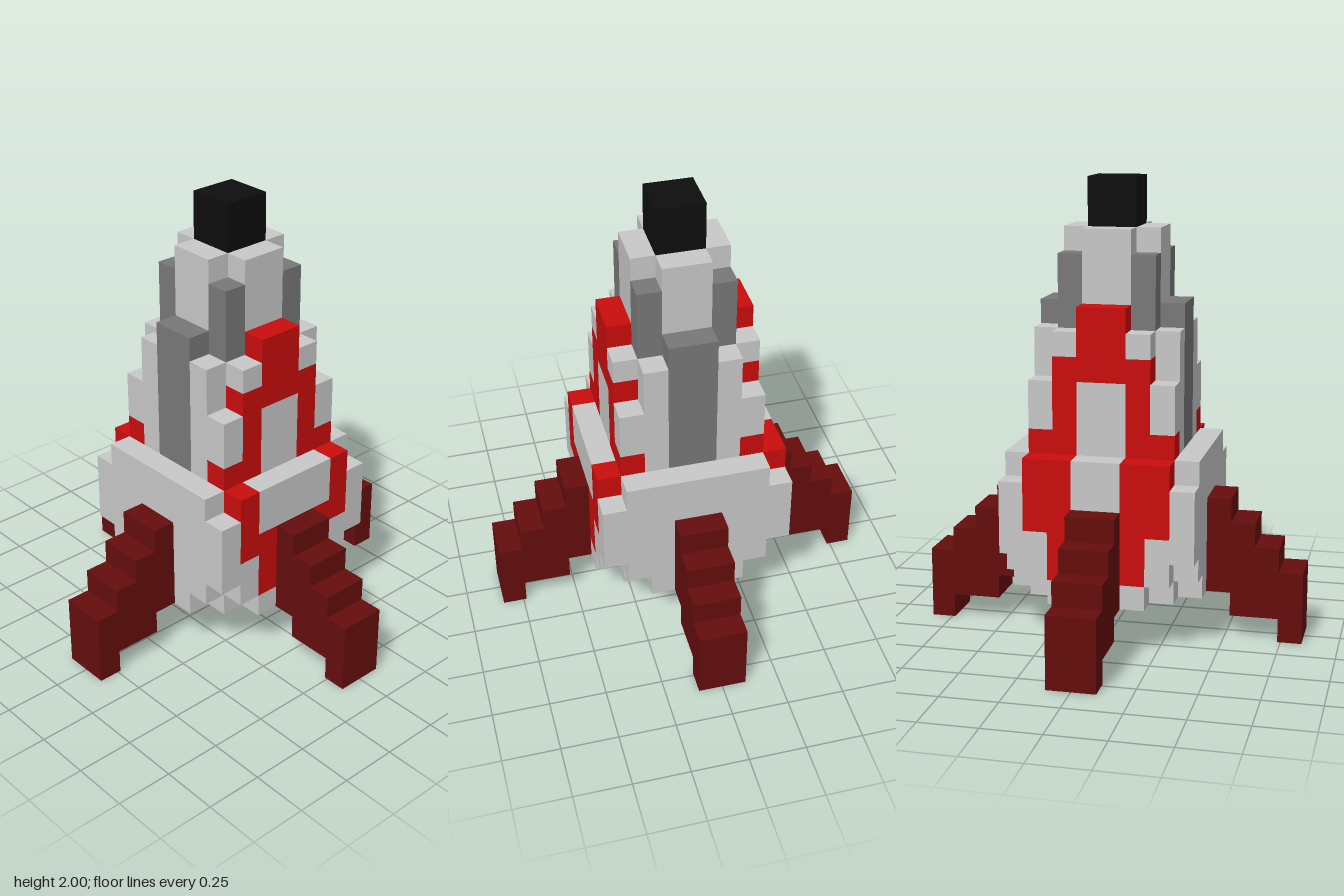
import * as THREE from 'three';

const U = 2 / 19; // edge of one block

const flat = (name, color) => {
  const m = new THREE.MeshStandardMaterial({ color });
  m.name = name;
  return m;
};

// The six sides of a block: outward normal and two edge directions (a x b = n)
const SIDES = [
  [[1, 0, 0], [0, 1, 0], [0, 0, 1]], [[-1, 0, 0], [0, 0, 1], [0, 1, 0]],
  [[0, 1, 0], [0, 0, 1], [1, 0, 0]], [[0, -1, 0], [1, 0, 0], [0, 0, 1]],
  [[0, 0, 1], [1, 0, 0], [0, 1, 0]], [[0, 0, -1], [0, 1, 0], [1, 0, 0]],
];

export function createModel() {
  const lightGrey = flat('lightGrey', 0xc8c8c8);
  const darkGrey = flat('darkGrey', 0x787878);
  const red = flat('red', 0xca0d0d);
  const darkRed = flat('darkRed', 0x650d0d);
  const black = flat('black', 0x0e0e0e);

  const blocks = new Map();
  const key = (x, y, z) => `${x},${y},${z}`;

  // Fill a box of blocks with a part; part null carves it away
  const fill = (part, x0, x1, y0, y1, z0, z1) => {
    for (let x = x0; x < x1; x++)
      for (let y = y0; y < y1; y++)
        for (let z = z0; z < z1; z++)
          if (part) blocks.set(key(x, y, z), { part, p: [x, y, z] });
          else blocks.delete(key(x, y, z));
  };
  const centred = (part, hx, hz, y0, y1) => fill(part, -hx, hx, y0, y1, -hz, hz);
  // Same box on the left and right
  const pair = (part, x0, x1, y0, y1, z0, z1) => {
    fill(part, x0, x1, y0, y1, z0, z1);
    fill(part, -x1, -x0, y0, y1, z0, z1);
  };
  // Same box in all four corners
  const corners = (part, x0, x1, y0, y1, z0, z1) => {
    pair(part, x0, x1, y0, y1, z0, z1);
    pair(part, x0, x1, y0, y1, -z1, -z0);
  };

  // Lower hull with stepped corners
  centred('lowerHull', 4, 4, 2, 8);
  corners(null, 3, 4, 2, 4, 3, 4);
  corners(null, 2, 3, 2, 3, 3, 4);
  corners(null, 3, 4, 2, 3, 2, 3);
  corners(null, 3, 4, 7, 8, 3, 4);

  // Upper hull, tapering in steps
  centred('upperHull', 3, 3, 8, 11);
  centred('upperHull', 3, 2, 11, 13);
  centred('upperHull', 2, 3, 11, 13);
  centred('upperHull', 2, 2, 13, 14);

  // Nose section
  centred('nose', 2, 1, 14, 17);
  centred('nose', 1, 2, 14, 17);
  centred('noseTip', 1, 1, 17, 19);

  // Dark side panels and corner columns
  pair('sidePanel', 2, 3, 8, 14, -1, 1);
  corners('noseColumn', 1, 2, 13, 16, 1, 2);

  // Red trim on the front and back
  for (const front of [true, false]) {
    const part = front ? 'frontTrim' : 'backTrim';
    const [u0, u1] = front ? [2, 3] : [-3, -2]; // upper hull skin
    const [l0, l1] = front ? [3, 4] : [-4, -3]; // lower hull skin
    fill(part, -1, 1, 12, 14, u0, u1);
    fill(part, -2, 2, 11, 12, u0, u1);
    pair(part, 1, 2, 8, 11, u0, u1);
    pair(part, 2, 3, 8, 9, u0, u1);
    pair(part, front ? 2 : 1, 3, 6, 8, l0, l1);
    pair(part, 1, 3, 5, 6, l0, l1);
    pair(part, 1, 2, 3, 5, l0, l1);
  }

  // Four stepped legs: [bottom, top] of each step outward
  [[2, 6], [1, 5], [1, 4], [0, 3]].forEach(([y0, y1], i) => {
    const a = 4 + i, b = a + 1;
    fill('leftLeg', a, b, y0, y1, -1, 1);
    fill('rightLeg', -b, -a, y0, y1, -1, 1);
    fill('frontLeg', -1, 1, y0, y1, a, b);
    fill('backLeg', -1, 1, y0, y1, -b, -a);
  });

  const materials = {
    lowerHull: lightGrey, upperHull: lightGrey, nose: lightGrey,
    noseTip: black, sidePanel: darkGrey, noseColumn: darkGrey,
    frontTrim: red, backTrim: red,
    leftLeg: darkRed, rightLeg: darkRed, frontLeg: darkRed, backLeg: darkRed,
  };

  // Turn the exposed block sides of each part into one mesh
  const group = new THREE.Group();
  group.name = 'rocket';
  for (const [part, material] of Object.entries(materials)) {
    const pos = [], nor = [], idx = [];
    for (const { part: owner, p } of blocks.values()) {
      if (owner !== part) continue;
      for (const [n, a, b] of SIDES) {
        if (blocks.has(key(p[0] + n[0], p[1] + n[1], p[2] + n[2]))) continue;
        const first = pos.length / 3;
        for (const [s, t] of [[0, 0], [1, 0], [1, 1], [0, 1]]) {
          for (let k = 0; k < 3; k++)
            pos.push((p[k] + Math.max(n[k], 0) + s * a[k] + t * b[k]) * U);
          nor.push(...n);
        }
        idx.push(first, first + 1, first + 2, first, first + 2, first + 3);
      }
    }
    const geo = new THREE.BufferGeometry();
    geo.setAttribute('position', new THREE.Float32BufferAttribute(pos, 3));
    geo.setAttribute('normal', new THREE.Float32BufferAttribute(nor, 3));
    geo.setIndex(idx);
    const mesh = new THREE.Mesh(geo, material);
    mesh.name = part;
    group.add(mesh);
  }
  return group;
}
